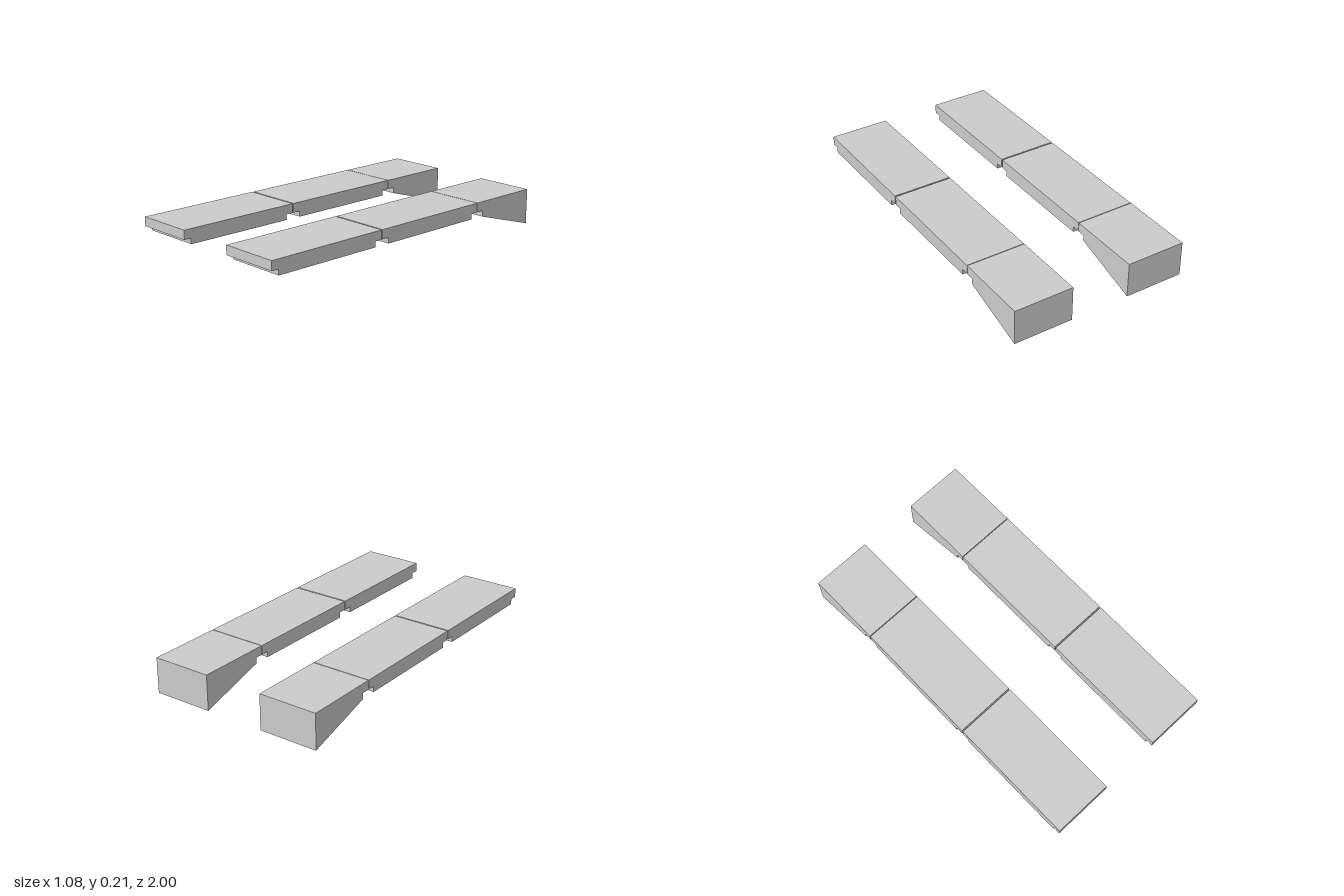
import * as THREE from 'three';

const WIDTH = 0.36, OFFSET = 0.36;        // track width and centre distance from x = 0
const TOP = 0.212, LIP = 0.157, UNDER = 0.124;

// Extrude a side profile of [z, y] points across the track width
function profileGeometry(points) {
  const shape = new THREE.Shape(points.map(([z, y]) => new THREE.Vector2(z, y)));
  const geometry = new THREE.ExtrudeGeometry(shape, { depth: WIDTH, bevelEnabled: false });
  geometry.translate(0, 0, -WIDTH / 2);
  geometry.rotateY(-Math.PI / 2);
  return geometry;
}

// Flat plank with a stepped lip under each end
function plankProfile(back, front) {
  const step = 0.045;
  return [
    [back, TOP], [back, LIP], [back + step, LIP], [back + step, UNDER],
    [front - step, UNDER], [front - step, LIP], [front, LIP], [front, TOP],
  ];
}

export function createModel() {
  const model = new THREE.Group();
  const material = new THREE.MeshStandardMaterial({ color: 0xcccccc, flatShading: true });

  const parts = {
    frontPlank: profileGeometry(plankProfile(0.231, 1)),
    middlePlank: profileGeometry(plankProfile(-0.545, 0.223)),
    // Wedge with a sloping underside and a lip at its front end
    rearWedge: profileGeometry([
      [-1, TOP], [-1, 0], [-0.595, 0.122], [-0.595, LIP], [-0.549, LIP], [-0.549, TOP],
    ]),
  };

  // Two matching tracks
  for (const [name, side] of [['leftTrack', 1], ['rightTrack', -1]]) {
    const track = new THREE.Group();
    track.name = name;
    track.position.x = side * OFFSET;
    for (const [partName, geometry] of Object.entries(parts)) {
      const mesh = new THREE.Mesh(geometry, material);
      mesh.name = partName;
      track.add(mesh);
    }
    model.add(track);
  }
  return model;
}
